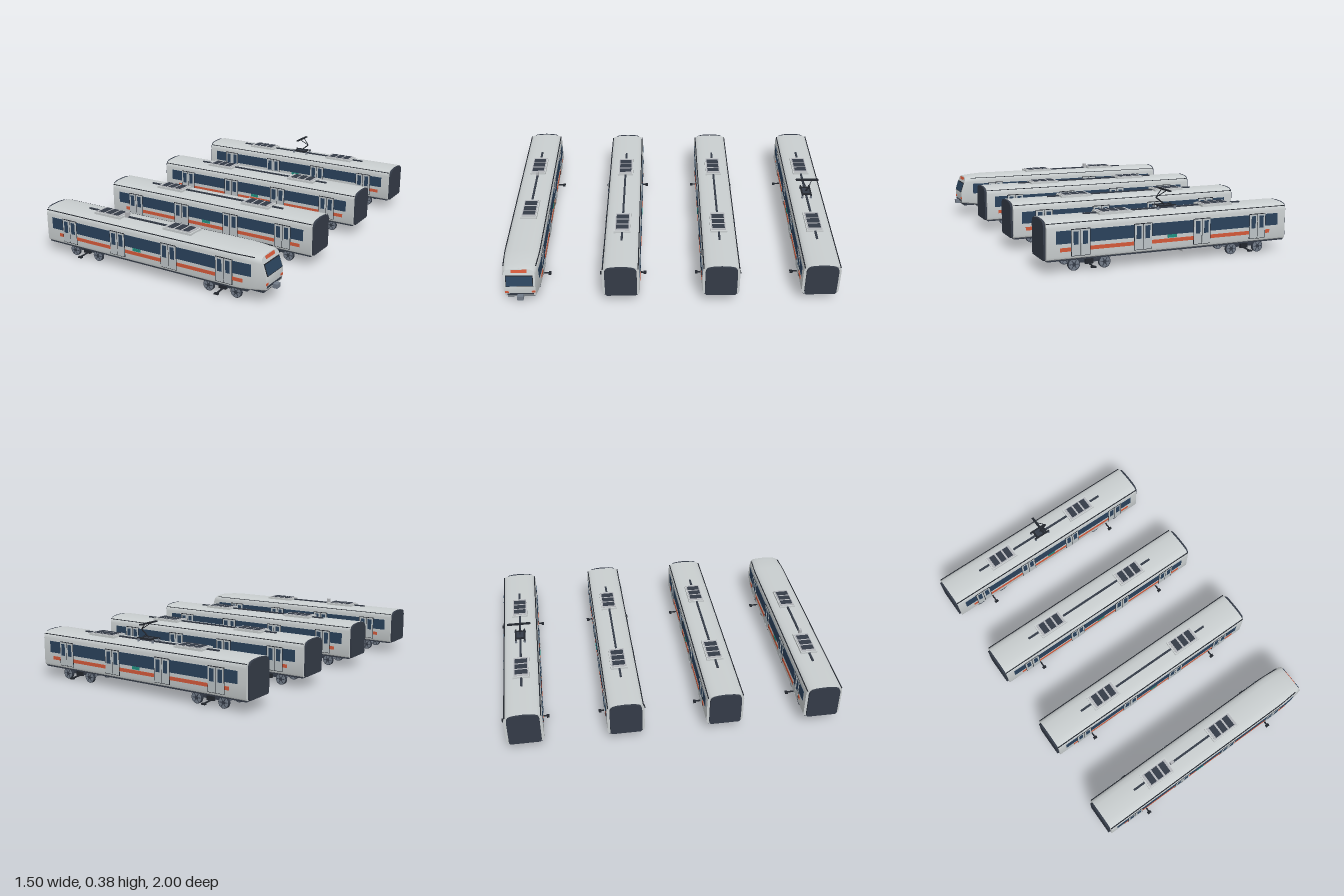
import * as THREE from 'three';
import { toCreasedNormals } from 'three/addons/utils/BufferGeometryUtils.js';

const paint = (name, color) => Object.assign(new THREE.MeshStandardMaterial({ color }), { name });
const M = {
  shell: paint('silver shell', 0xc9cecf), door: paint('door silver', 0xbcc3c6),
  glass: paint('blue glass', 0x2a425c), orange: paint('orange', 0xd4593a),
  dark: paint('charcoal', 0x343b47), line: paint('black trim', 0x22262d),
  green: paint('teal sign', 0x1f9080), steel: paint('wheel steel', 0x727b88),
  box: paint('equipment grey', 0xb4b6ba),
};

const W = 0.107, YB = 0.07, YT = 0.277;
const smooth = THREE.MathUtils.smoothstep;
// half width of the shell, narrowing towards a cab
const halfW = (x, cab) => cab ? W - 0.018 * Math.pow(Math.max(0, (x - 0.54) / 0.18), 2) : W;
// slanted cab face
const noseX = y => y > 0.155 ? 0.727 - (y - 0.155) * 0.33 : 0.727 - (0.155 - y) * 0.1;

// half cross-section of the shell, from sill to roof ridge (z, y)
const HALF = [[0.096, 0.07], [0.104, 0.076], [W, 0.088], [W, 0.155], [W, 0.235],
  [0.104, 0.25], [0.096, 0.262], [0.082, 0.269], [0.055, 0.274], [0, 0.277]];
const LOOP = [...HALF, ...HALF.slice(0, -1).reverse().map(([z, y]) => [-z, y])];

// skin cross-sections along x; the last one may follow the cab face
function loft(xs, { cab = false, sz = 1, nose = false } = {}) {
  const pos = [], idx = [], n = LOOP.length;
  xs.forEach((x, i) => {
    const t = cab ? smooth(x, 0.54, 0.76) : 0;
    const yb = YB + 0.018 * t, yt = YT - 0.014 * t;
    for (const [z, y0] of LOOP) {
      const y = yb + (y0 - YB) / (YT - YB) * (yt - yb);
      pos.push(nose && i === xs.length - 1 ? noseX(y) : x, y, z * sz * halfW(x, cab) / W);
    }
  });
  for (let i = 0; i < xs.length - 1; i++) for (let j = 0; j < n; j++) {
    const a = i * n + j, d = i * n + (j + 1) % n;
    idx.push(a, a + n, d + n, a, d + n, d);
  }
  const e = (xs.length - 1) * n;
  for (let k = 0; k < HALF.length - 1; k++) {
    const R = k, R2 = k + 1, L = n - 1 - k, L2 = n - 2 - k;
    idx.push(e + R, e + L, e + L2, e + R, e + L2, e + R2);
    idx.push(R, L2, L, R, R2, L2);
  }
  const g = new THREE.BufferGeometry();
  g.setAttribute('position', new THREE.Float32BufferAttribute(pos, 3));
  g.setIndex(idx);
  return toCreasedNormals(g, 0.6);
}

function add(parent, name, geo, mat, x = 0, y = 0, z = 0) {
  const m = new THREE.Mesh(geo, mat);
  m.name = name;
  m.position.set(x, y, z);
  parent.add(m);
  return m;
}
const block = (p, name, mat, x0, x1, y0, y1, z0, z1) => add(p, name,
  new THREE.BoxGeometry(x1 - x0, y1 - y0, z1 - z0), mat, (x0 + x1) / 2, (y0 + y1) / 2, (z0 + z1) / 2);

// thin plate on both flanks, following the shell
function plates(p, name, mat, x0, x1, y0, y1, out, cab) {
  for (const s of [1, -1]) {
    const g = new THREE.BoxGeometry(x1 - x0, y1 - y0, 0.006, cab && x1 > 0.54 ? 10 : 1);
    g.translate((x0 + x1) / 2, (y0 + y1) / 2, 0);
    const a = g.attributes.position;
    for (let i = 0; i < a.count; i++)
      a.setZ(i, a.getZ(i) + s * (halfW(a.getX(i), cab) + out - 0.003));
    g.computeVertexNormals();
    add(p, name, g, mat);
  }
}

function rod(p, name, mat, a, b, r) {
  const A = new THREE.Vector3(...a), B = new THREE.Vector3(...b), d = B.clone().sub(A);
  const m = add(p, name, new THREE.CylinderGeometry(r, r, d.length(), 6), mat);
  m.position.copy(A).add(B).multiplyScalar(0.5);
  m.quaternion.setFromUnitVectors(new THREE.Vector3(0, 1, 0), d.normalize());
}

function bogie(x) {
  const g = new THREE.Group();
  g.name = 'bogie';
  g.position.x = x;
  block(g, 'bolster', M.dark, -0.035, 0.035, 0.035, 0.07, -0.05, 0.05);
  for (const s of [1, -1]) {
    block(g, 'sideFrame', M.dark, -0.07, 0.07, 0.036, 0.05, s * 0.056 - 0.006, s * 0.056 + 0.006);
    block(g, 'spring', M.line, -0.022, 0.022, 0.03, 0.066, s * 0.068 - 0.008, s * 0.068 + 0.008);
    // collector shoe reaching outwards
    rod(g, 'shoeArm', M.line, [0, 0.032, s * 0.06], [0, 0.027, s * 0.136], 0.005);
    block(g, 'collectorShoe', M.line, -0.012, 0.012, 0.022, 0.03, s * 0.132 - 0.008, s * 0.132 + 0.008);
    for (const wx of [-0.085, 0.085]) {
      const wheel = new THREE.Group();
      wheel.name = 'wheel';
      wheel.position.set(wx, 0.034, s * 0.07);
      wheel.rotation.x = s * Math.PI / 2;
      add(wheel, 'tyre', new THREE.CylinderGeometry(0.033, 0.033, 0.014, 24), M.dark);
      add(wheel, 'disc', new THREE.CylinderGeometry(0.029, 0.029, 0.016, 24), M.steel);
      add(wheel, 'hub', new THREE.CylinderGeometry(0.01, 0.01, 0.022, 12), M.dark);
      for (let i = 0; i < 3; i++)
        add(wheel, 'spoke', new THREE.BoxGeometry(0.05, 0.018, 0.004), M.dark).rotation.y = i * Math.PI / 3;
      g.add(wheel);
    }
  }
  for (const wx of [-0.085, 0.085]) rod(g, 'axle', M.steel, [wx, 0.034, -0.07], [wx, 0.034, 0.07], 0.007);
  return g;
}

function roofPod(p, x) {
  block(p, 'roofPod', M.shell, x - 0.093, x + 0.093, 0.268, 0.287, -0.05, 0.05);
  block(p, 'podLid', M.box, x - 0.084, x + 0.084, 0.286, 0.29, -0.043, 0.043);
  for (const d of [-0.05, 0, 0.05])
    block(p, 'roofGrille', M.dark, x + d - 0.019, x + d + 0.019, 0.288, 0.292, -0.037, 0.037);
}

function pantograph(p) {
  const g = new THREE.Group();
  g.name = 'pantograph';
  g.position.x = -0.01;
  for (const s of [1, -1]) {
    block(g, 'baseRail', M.line, -0.056, 0.056, 0.291, 0.297, s * 0.027 - 0.005, s * 0.027 + 0.005);
    block(g, 'baseCross', M.line, s * 0.035 - 0.006, s * 0.035 + 0.006, 0.291, 0.297, -0.03, 0.03);
    for (const x of [-0.05, 0.05])
      add(g, 'insulator', new THREE.CylinderGeometry(0.006, 0.008, 0.022, 10), M.steel, x, 0.283, s * 0.027);
    rod(g, 'upperArm', M.line, [0.05, 0.338, 0], [0, 0.377, s * 0.03], 0.0025);
  }
  block(g, 'basePlate', M.dark, -0.03, 0.03, 0.288, 0.295, -0.024, 0.024);
  rod(g, 'lowerArm', M.line, [0, 0.297, 0], [0.05, 0.338, 0], 0.004);
  block(g, 'contactHead', M.line, -0.007, 0.007, 0.374, 0.381, -0.07, 0.07);
  p.add(g);
}

// plate lying on the slanted cab face
function facePlate(p, name, mat, y0, y1, z, w) {
  const dx = noseX(y1) - noseX(y0), m = add(p, name,
    new THREE.BoxGeometry(0.006, Math.hypot(dx, y1 - y0), w), mat, (noseX(y0) + noseX(y1)) / 2, (y0 + y1) / 2, z);
  m.rotation.z = Math.atan2(-dx, y1 - y0);
}

function car(z, cab, panto) {
  const g = new THREE.Group();
  g.name = cab ? 'cabCar' : 'middleCar';
  g.position.z = z;
  const c = cab ? -0.04 : -0.01, back = cab ? -0.738 : -0.717, front = cab ? 0.727 : 0.697;

  // shell, floor and gangway ends
  add(g, 'shell', loft(cab ? [back, 0.54, 0.58, 0.62, 0.65, 0.68, 0.72] : [back, front], { cab, nose: cab }), M.shell);
  block(g, 'floor', M.dark, back + 0.004, cab ? 0.62 : front - 0.004, 0.063, 0.075, -0.097, 0.097);
  if (cab) block(g, 'noseFloor', M.dark, 0.62, 0.705, 0.068, 0.086, -0.078, 0.078);
  add(g, 'gangway', loft([back - 0.012, back + 0.002], { sz: 0.86 }), M.dark);
  if (!cab) add(g, 'gangway', loft([front - 0.002, front + 0.012], { sz: 0.86 }), M.dark);
  plates(g, 'gutter', M.line, back, cab ? 0.66 : front, 0.257, 0.26, -0.003, cab);

  // doors, window bands and stripes between them
  const doors = [-0.525, -0.175, 0.175, 0.525].map(d => c + d);
  const gaps = [c - 0.657, ...doors.flatMap(d => [d - 0.052, d + 0.052]), cab ? 0.645 : c + 0.657];
  for (let i = 0; i < gaps.length; i += 2) {
    const a = gaps[i], b = gaps[i + 1];
    plates(g, 'windowBand', M.glass, a, b, 0.153, 0.22, 0.002, cab);
    plates(g, 'stripe', M.orange, Math.max(a, c - 0.605), Math.min(b, c + 0.636), 0.112, 0.132, 0.002, cab);
  }
  for (const d of doors) {
    plates(g, 'doorFrame', M.line, d - 0.052, d + 0.052, 0.085, 0.226, 0.002, cab);
    for (const s of [-0.0255, 0.0255]) {
      plates(g, 'doorLeaf', M.door, d + s - 0.0235, d + s + 0.0235, 0.088, 0.222, 0.0035, cab);
      plates(g, 'doorWindow', M.glass, d + s - 0.013, d + s + 0.013, 0.145, 0.213, 0.005, cab);
    }
  }
  const sign = cab ? -0.08 : -0.005;
  plates(g, 'routeSign', M.green, sign - 0.026, sign + 0.026, 0.136, 0.153, 0.004, cab);

  // roof equipment
  const pods = cab ? [-0.33, 0.15] : [-0.312, 0.295];
  block(g, 'roofConduit', M.dark, cab ? -0.5 : -0.48, cab ? 0.1 : 0.46, 0.274, 0.284, -0.006, 0.006);
  pods.forEach(x => roofPod(g, x));
  if (panto) pantograph(g);

  // underfloor equipment and bogies
  block(g, 'converterBox', M.box, -0.267, -0.094, 0.04, 0.07, -0.06, 0.06);
  block(g, 'airTank', M.box, -0.046, 0.083, 0.05, 0.07, -0.03, 0.03);
  block(g, 'batteryBox', M.dark, 0.127, 0.255, 0.048, 0.07, -0.03, 0.03);
  g.add(bogie(-0.475), bogie(0.455));

  // cab face
  if (cab) {
    block(g, 'antenna', M.box, -0.234, -0.212, 0.275, 0.308, -0.008, 0.008);
    facePlate(g, 'windscreenFrame', M.line, 0.161, 0.225, 0, 0.156);
    facePlate(g, 'windscreen', M.glass, 0.165, 0.221, 0, 0.148);
    g.children.at(-1).position.x += 0.002;
    facePlate(g, 'destinationPanel', M.orange, 0.241, 0.258, 0, 0.09);
    facePlate(g, 'bumperLine', M.dark, 0.097, 0.107, 0, 0.15);
    for (const s of [1, -1]) facePlate(g, 'tailLight', M.orange, 0.114, 0.126, s * 0.076, 0.02);
    block(g, 'couplerShank', M.dark, 0.7, 0.735, 0.082, 0.096, -0.01, 0.01);
    block(g, 'couplerHead', M.steel, 0.722, 0.75, 0.078, 0.102, -0.018, 0.018);
  }
  return g;
}

export function createModel() {
  const train = new THREE.Group();
  train.name = 'train';
  [0.86, 0.287, -0.287, -0.86].forEach((z, i) => train.add(car(z, i === 0, i === 3)));
  return train;
}
